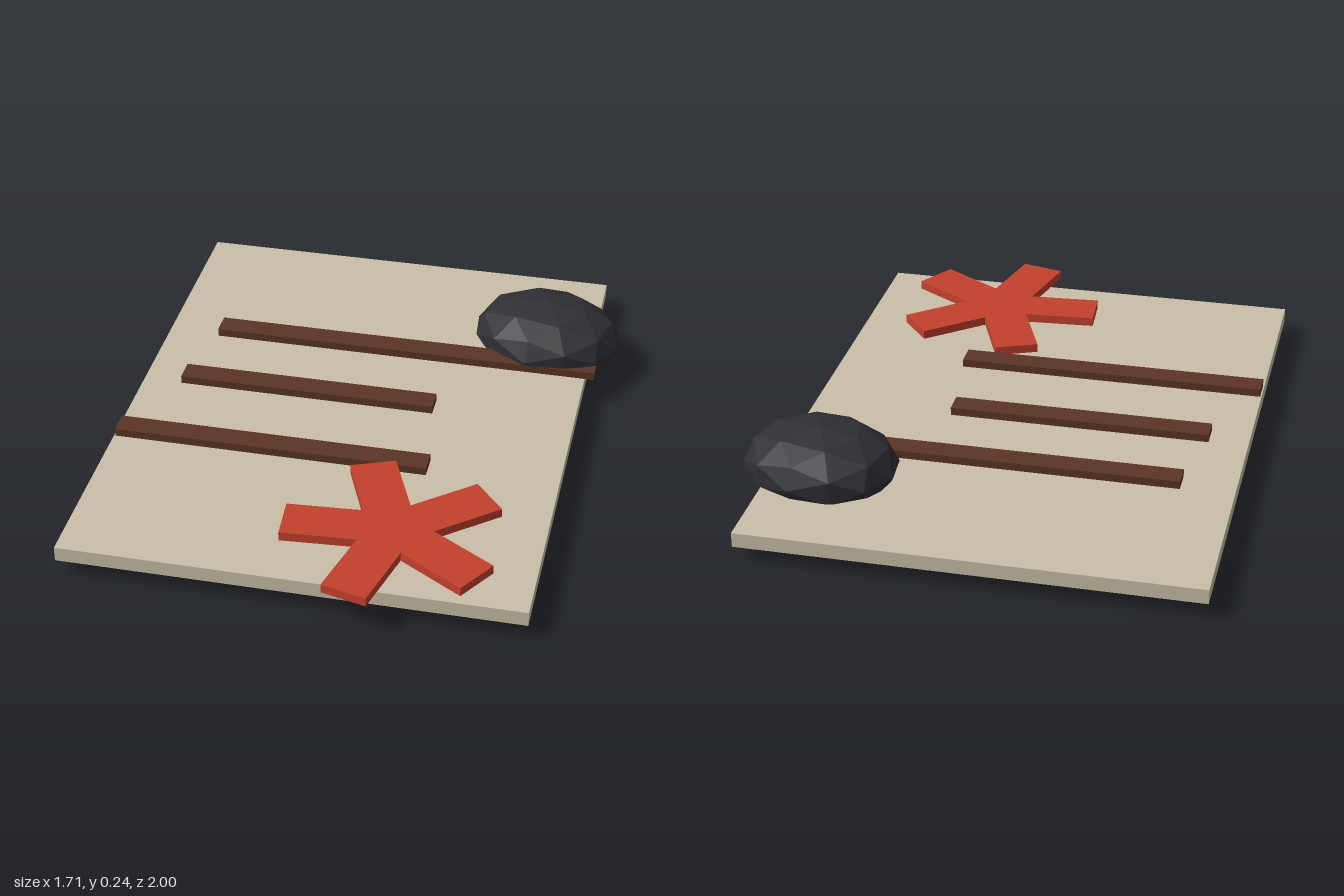
import * as THREE from 'three';

const material = (name, color, flatShading = false) => {
  const m = new THREE.MeshStandardMaterial({ color, flatShading });
  m.name = name;
  return m;
};

export function createModel() {
  const parchment = material('parchment', 0xcabfa8);
  const brown = material('dark brown', 0x5a3524);
  const red = material('red', 0xc4412d);
  const charcoal = material('charcoal', 0x2f2f35, true);
  const model = new THREE.Group();
  const TURN = 0.244; // shared yaw of the board and its strips

  const add = (name, geometry, mat, x, y, z) => {
    const mesh = new THREE.Mesh(geometry, mat);
    mesh.name = name;
    mesh.position.set(x, y, z);
    model.add(mesh);
    return mesh;
  };

  // Flat board
  add('board', new THREE.BoxGeometry(1.33, 0.044, 1.727), parchment, 0, 0.066, 0).rotation.y = TURN;

  // Three written strips: [length, x, z]
  [[1.2, 0.012, -0.34], [0.786, -0.159, -0.003], [0.94, -0.119, 0.311]].forEach(([length, x, z], i) => {
    add(`strip${i + 1}`, new THREE.BoxGeometry(length, 0.024, 0.072), brown, x, 0.1, z).rotation.y = TURN;
  });

  // Five-armed seal, outlined arm by arm: inner notch, then two tip corners
  const reach = 0.312, half = 0.0675, notch = half / Math.sin(Math.PI / 5);
  const outline = [];
  for (let i = 0; i < 5; i++) {
    const a = -Math.PI / 2 + i * Math.PI * 2 / 5;
    const c = Math.cos(a), s = Math.sin(a), n = a - Math.PI / 5;
    outline.push(
      new THREE.Vector2(Math.cos(n) * notch, Math.sin(n) * notch),
      new THREE.Vector2(c * reach + s * half, s * reach - c * half),
      new THREE.Vector2(c * reach - s * half, s * reach + c * half)
    );
  }
  const seal = new THREE.ExtrudeGeometry(new THREE.Shape(outline), { depth: 0.027, bevelEnabled: false });
  seal.rotateX(-Math.PI / 2);
  add('seal', seal, red, 0.39, 0.101, 0.547);

  // Faceted stone pinning the corner
  const stone = new THREE.IcosahedronGeometry(1, 1);
  stone.scale(0.235, 0.119, 0.195);
  add('stone', stone, charcoal, 0.39, 0.119, -0.59);

  return model;
}
